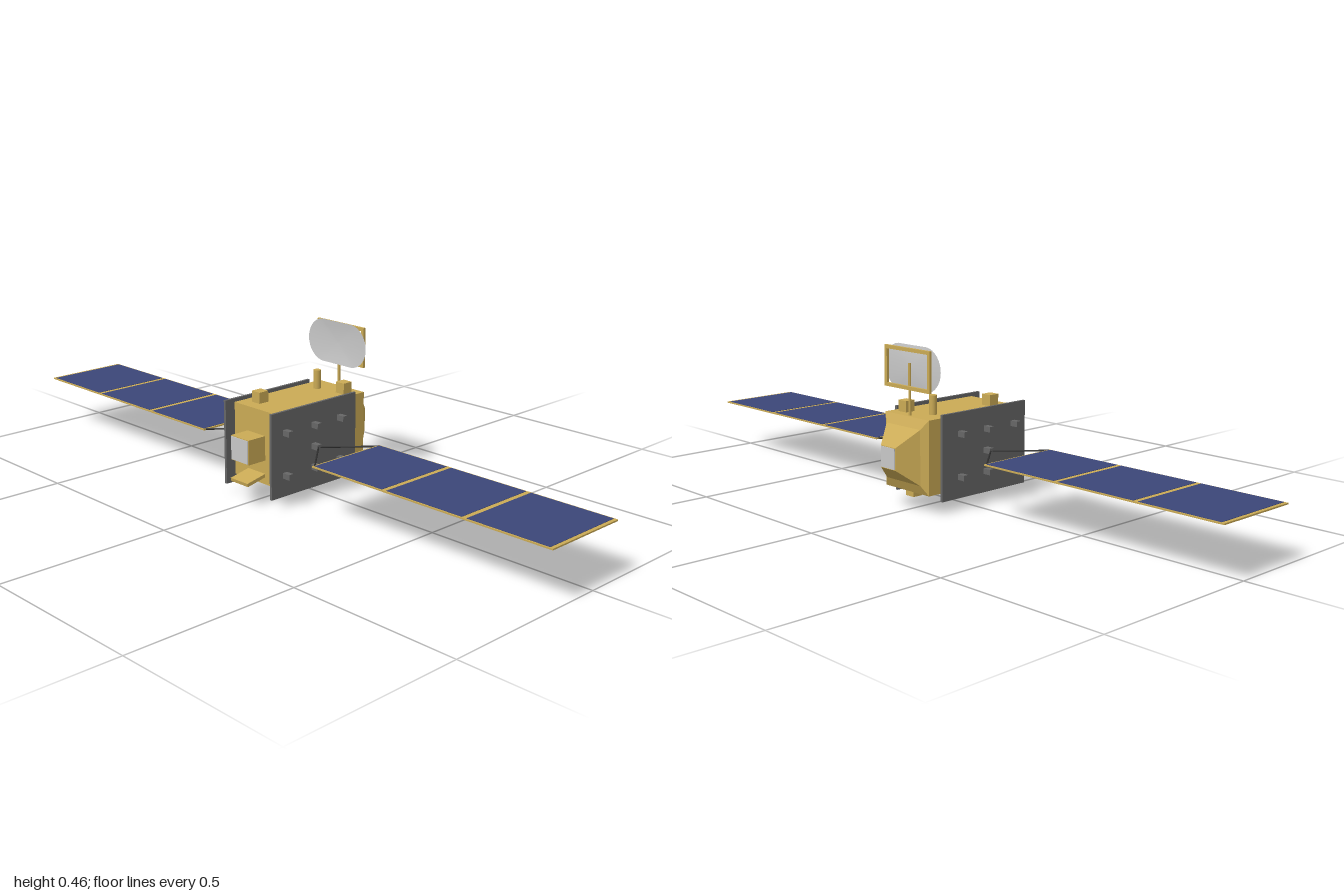
import * as THREE from 'three';

const mat = (name, color) => {
  const m = new THREE.MeshStandardMaterial({ color });
  m.name = name;
  return m;
};

export function createModel() {
  const gold = mat('gold foil', 0xcaaa55);
  const dark = mat('dark grey', 0x666666);
  const silver = mat('light grey', 0xc8c8c8);
  const blue = mat('solar blue', 0x3c4678);
  const black = mat('strut black', 0x303030);
  silver.side = THREE.DoubleSide;

  const model = new THREE.Group();
  model.name = 'satellite';

  const add = (name, geo, material, x = 0, y = 0, z = 0, parent = model) => {
    const m = new THREE.Mesh(geo, material);
    m.name = name;
    m.position.set(x, y, z);
    parent.add(m);
    return m;
  };
  // box given by its min and max on each axis
  const span = (name, material, x0, x1, y0, y1, z0, z1, parent) =>
    add(name, new THREE.BoxGeometry(x1 - x0, y1 - y0, z1 - z0), material,
      (x0 + x1) / 2, (y0 + y1) / 2, (z0 + z1) / 2, parent);
  // round rod between two points
  const rod = (name, material, a, b, r, parent) => {
    const d = b.clone().sub(a);
    const m = add(name, new THREE.CylinderGeometry(r, r, d.length(), 8), material, 0, 0, 0, parent);
    m.position.copy(a).add(b).multiplyScalar(0.5);
    m.quaternion.setFromUnitVectors(new THREE.Vector3(0, 1, 0), d.normalize());
    return m;
  };
  // rectangular sections [z, halfWidth, yLow, yHigh], front to back, joined with flat faces
  const loft = (sections) => {
    const rings = sections.map(([z, w, lo, hi]) => [[-w, lo, z], [w, lo, z], [w, hi, z], [-w, hi, z]]);
    const pos = [];
    const quad = (a, b, c, d) => pos.push(...a, ...b, ...c, ...a, ...c, ...d);
    quad(...rings[0]);
    quad(...rings[rings.length - 1].slice().reverse());
    for (let i = 0; i + 1 < rings.length; i++) {
      for (let k = 0; k < 4; k++) {
        const n = (k + 1) % 4;
        quad(rings[i][k], rings[i + 1][k], rings[i + 1][n], rings[i][n]);
      }
    }
    const g = new THREE.BufferGeometry();
    g.setAttribute('position', new THREE.Float32BufferAttribute(pos, 3));
    g.computeVertexNormals();
    return g;
  };

  // body with its tapered rear
  add('body', loft([
    [0.17, 0.09, 0.055, 0.267],
    [-0.164, 0.09, 0.055, 0.267],
    [-0.178, 0.07, 0.083, 0.24],
    [-0.233, 0.03, 0.128, 0.191],
  ]), gold);
  span('rearPlate', silver, -0.028, 0.028, 0.13, 0.189, -0.235, -0.232);

  // front instrument and tilted flap
  span('frontInstrument', gold, -0.036, 0.036, 0.125, 0.196, 0.165, 0.231);
  span('frontInstrumentPlate', silver, -0.034, 0.034, 0.127, 0.194, 0.23, 0.233);
  const flap = add('frontFlap', new THREE.BoxGeometry(0.07, 0.01, 0.075), gold, 0, 0.075, 0.198);
  flap.rotation.x = 0.2;

  // boxes and stubs on the roof and floor
  span('roofBoxFront', gold, -0.059, -0.027, 0.26, 0.299, 0.1, 0.133);
  span('roofBoxRear', gold, 0.037, 0.069, 0.26, 0.299, -0.135, -0.103);
  span('floorBoxFront', gold, -0.006, 0.026, 0.025, 0.06, 0.082, 0.113);
  span('floorBoxRear', gold, 0.018, 0.05, 0.025, 0.06, -0.125, -0.093);
  add('roofStub', new THREE.CylinderGeometry(0.011, 0.011, 0.06, 20), gold, -0.033, 0.292, -0.097);
  add('floorStub', new THREE.CylinderGeometry(0.011, 0.011, 0.06, 20), gold, 0.021, 0.03, 0.011);

  // antenna: mast, hollow frame and shallow rounded dish
  const antenna = new THREE.Group();
  antenna.name = 'antenna';
  model.add(antenna);
  rod('mast', gold, new THREE.Vector3(0, 0.26, -0.153), new THREE.Vector3(0, 0.413, -0.153), 0.004, antenna);
  const frame = new THREE.Shape();
  frame.moveTo(-0.093, -0.058).lineTo(0.093, -0.058).lineTo(0.093, 0.058).lineTo(-0.093, 0.058);
  const hole = new THREE.Path();
  hole.moveTo(-0.083, -0.048).lineTo(-0.083, 0.048).lineTo(0.083, 0.048).lineTo(0.083, -0.048);
  frame.holes.push(hole);
  add('dishFrame', new THREE.ExtrudeGeometry(frame, { depth: 0.008, bevelEnabled: false }), gold,
    0, 0.398, -0.164, antenna);
  const dish = new THREE.RingGeometry(0, 1, 34, 4);
  const p = dish.attributes.position;
  for (let i = 0; i < p.count; i++) {
    const x = p.getX(i), y = p.getY(i), r = Math.hypot(x, y);
    p.setXYZ(i, 0.062 * x + 0.053 * r * Math.sign(x), 0.063 * y, 0.005 * r * r);
  }
  dish.computeVertexNormals();
  add('dish', dish, silver, 0, 0.399, -0.148, antenna);

  for (const s of [1, -1]) {
    const side = new THREE.Group();
    side.name = s > 0 ? 'leftSide' : 'rightSide';
    model.add(side);
    const sx = (name, material, x0, x1, ...rest) =>
      span(name, material, Math.min(s * x0, s * x1), Math.max(s * x0, s * x1), ...rest, side);

    // side plate with studs
    sx('sidePlate', dark, 0.09, 0.098, 0.032, 0.277, -0.122, 0.203);
    for (const y of [0.217, 0.155, 0.094]) {
      for (const z of [0.153, 0.045, -0.055]) {
        if (y === 0.155 && z !== 0.045) continue;
        sx('stud', dark, 0.097, 0.123, y - 0.008, y + 0.008, z - 0.008, z + 0.008);
      }
    }

    // yoke struts
    for (const z of [-0.08, 0.167]) {
      rod('yokeStrut', black, new THREE.Vector3(s * 0.118, 0.155, 0.045),
        new THREE.Vector3(s * 0.228, 0.155, z), 0.0025, side);
    }

    // solar wing: gold core with blue cells on both faces
    sx('wingCore', gold, 0.224, 1, 0.1525, 0.1565, -0.087, 0.173);
    for (const [a, b] of [[0.23, 0.473], [0.488, 0.733], [0.748, 0.99]]) {
      sx('solarCellsTop', blue, a, b, 0.156, 0.1575, -0.083, 0.169);
      sx('solarCellsBottom', blue, a, b, 0.1515, 0.153, -0.083, 0.169);
    }
  }
  return model;
}
